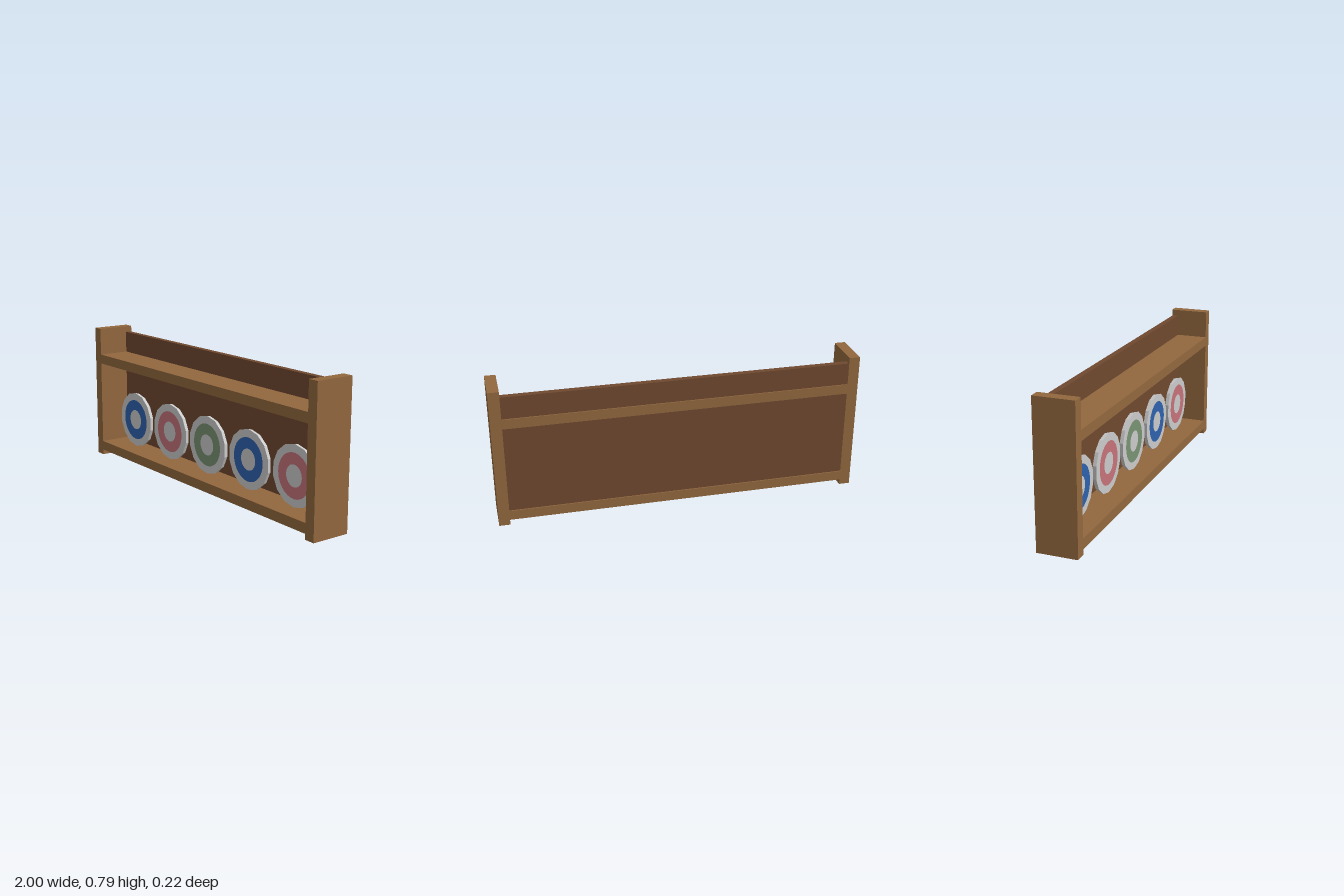
import * as THREE from 'three';

const material = (color) => new THREE.MeshStandardMaterial({ color, flatShading: true });

export function createModel() {
  const model = new THREE.Group();
  model.name = 'plateRack';
  const wood = material(0x92683f);
  const darkWood = material(0x70492f);
  const white = material(0xcccccc);
  const blue = material(0x2e62ae);
  const pink = material(0xc5737a);
  const green = material(0x789372);

  // Box given by its lower and upper corners
  function addBox(name, [x0, y0, z0], [x1, y1, z1], mat) {
    const mesh = new THREE.Mesh(new THREE.BoxGeometry(x1 - x0, y1 - y0, z1 - z0), mat);
    mesh.position.set((x0 + x1) / 2, (y0 + y1) / 2, (z0 + z1) / 2);
    mesh.name = name;
    model.add(mesh);
  }

  // Wooden frame
  addBox('leftSide', [0.94, 0, -0.11], [1, 0.787, 0.11], wood);
  addBox('rightSide', [-1, 0, -0.11], [-0.94, 0.787, 0.11], wood);
  addBox('bottomShelf', [-0.94, 0.03, -0.11], [0.94, 0.085, 0.11], wood);
  addBox('upperShelf', [-0.94, 0.575, -0.11], [0.94, 0.63, 0.11], wood);

  // Back boards, slightly recessed between the shelves
  addBox('lowerBack', [-0.94, 0.085, -0.104], [0.94, 0.575, -0.071], darkWood);
  addBox('upperBack', [-0.94, 0.63, -0.104], [0.94, 0.753, -0.071], darkWood);

  // Row of upright plates with a coloured band
  const discGeometry = new THREE.CylinderGeometry(0.165, 0.16, 0.022, 14);
  discGeometry.rotateX(Math.PI / 2);
  const bandGeometry = new THREE.RingGeometry(0.059, 0.12, 42);
  [blue, pink, green, blue, pink].forEach((color, i) => {
    const plate = new THREE.Group();
    plate.name = 'plate' + (i + 1);
    const disc = new THREE.Mesh(discGeometry, white);
    disc.name = 'plateDisc';
    const band = new THREE.Mesh(bandGeometry, color);
    band.name = 'plateBand';
    band.position.z = 0.0125;
    plate.add(disc, band);
    plate.position.set((i - 2) * 0.364, 0.248, -0.01);
    model.add(plate);
  });

  return model;
}
